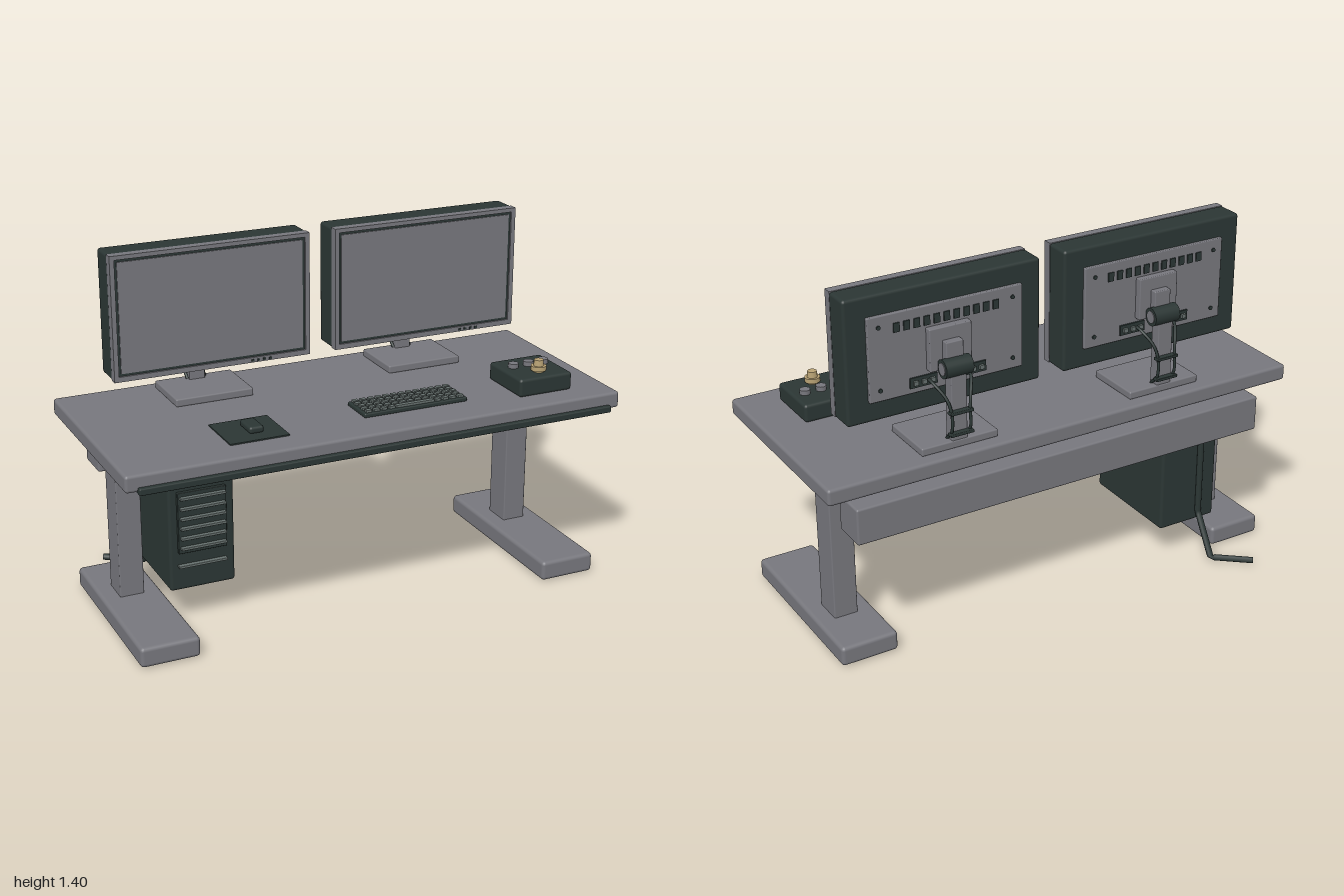
import * as THREE from 'three';
import { RoundedBoxGeometry } from 'three/addons/geometries/RoundedBoxGeometry.js';

const mat = (name, color) => Object.assign(new THREE.MeshStandardMaterial({ color }), { name });

export function createModel() {
  const grey = mat('grey', 0x77777d);
  const dark = mat('dark green grey', 0x2b3634);
  const keyGrey = mat('key grey', 0x66706e);
  const brass = mat('brass', 0xb8a274);
  const root = new THREE.Group();
  root.name = 'computerDesk';

  const group = (name, parent = root) => {
    const g = new THREE.Group();
    g.name = name;
    parent.add(g);
    return g;
  };
  const add = (parent, name, geo, m) => {
    const mesh = new THREE.Mesh(geo, m);
    mesh.name = name;
    parent.add(mesh);
    return mesh;
  };
  // box given by its limits on each axis, with optional rounded edges
  const box = (parent, name, m, [x0, x1], [y0, y1], [z0, z1], r = 0) => {
    const s = [x1 - x0, y1 - y0, z1 - z0];
    const geo = r ? new RoundedBoxGeometry(...s, 2, r) : new THREE.BoxGeometry(...s);
    geo.translate((x0 + x1) / 2, (y0 + y1) / 2, (z0 + z1) / 2);
    return add(parent, name, geo, m);
  };
  // cylinder along y (default), x or z
  const cyl = (parent, name, m, r, h, [x, y, z], axis = 'y', rTop = r) => {
    const geo = new THREE.CylinderGeometry(rTop, r, h, 20);
    if (axis === 'x') geo.rotateZ(Math.PI / 2);
    if (axis === 'z') geo.rotateX(Math.PI / 2);
    geo.translate(x, y, z);
    return add(parent, name, geo, m);
  };
  const tube = (parent, name, m, r, pts, straight) => {
    const v = pts.map((p) => new THREE.Vector3(...p));
    let curve = new THREE.CatmullRomCurve3(v);
    if (straight) {
      curve = new THREE.CurvePath();
      for (let i = 1; i < v.length; i++) curve.add(new THREE.LineCurve3(v[i - 1], v[i]));
    }
    return add(parent, name, new THREE.TubeGeometry(curve, 40, r, 8), m);
  };

  // Table
  const desk = group('desk');
  box(desk, 'tabletop', grey, [-1, 1], [0.72, 0.785], [-0.36, 0.49], 0.012);
  box(desk, 'frontTrim', dark, [-0.955, 0.955], [0.712, 0.738], [0.47, 0.508], 0.005);
  box(desk, 'rearBeam', grey, [-0.885, 0.885], [0.52, 0.665], [-0.34, -0.195], 0.008);
  for (const s of [-1, 1]) {
    const c = s * 0.838;
    box(desk, 'leg', grey, [c - 0.048, c + 0.048], [0.08, 0.725], [-0.105, 0.015], 0.005);
    box(desk, 'foot', grey, [c - 0.115, c + 0.115], [0.008, 0.087], [-0.305, 0.44], 0.015);
  }

  // Computer tower with front slats
  const tower = group('tower');
  box(tower, 'towerCase', dark, [-0.737, -0.477], [0.147, 0.629], [-0.282, 0.168], 0.012);
  box(tower, 'frontPanel', dark, [-0.705, -0.512], [0.302, 0.548], [0.167, 0.183], 0.003);
  for (const y of [0.527, 0.485, 0.445, 0.406, 0.366, 0.326])
    box(tower, 'slat', keyGrey, [-0.698, -0.518], [y - 0.005, y + 0.005], [0.18, 0.2], 0.002);
  for (const y of [0.585, 0.248])
    box(tower, 'driveSlot', keyGrey, [-0.705, -0.512], [y - 0.005, y + 0.005], [0.165, 0.187], 0.002);
  tube(root, 'powerCable', dark, 0.013,
    [[-0.655, 0.6, -0.289], [-0.655, 0.19, -0.289], [-0.655, 0.02, -0.39], [-0.79, 0.017, -0.495]], true);

  // Monitors, each built around its own centre line
  for (const cx of [-0.45, 0.445]) {
    const mon = group('monitor');
    mon.position.x = cx;
    const w = 0.396, y0 = 0.918, y1 = 1.4;
    box(mon, 'housing', dark, [-w, w], [y0, y1], [-0.205, -0.098], 0.012);
    const rect = (P, a, b, c) => new P().moveTo(-a, b).lineTo(a, b).lineTo(a, c).lineTo(-a, c).closePath();
    const frame = rect(THREE.Shape, w - 0.002, y0, y1);
    frame.holes.push(rect(THREE.Path, w - 0.02, y0 + 0.02, y1 - 0.016));
    const bezel = add(mon, 'bezel', new THREE.ExtrudeGeometry(frame, { depth: 0.035, bevelEnabled: false }), grey);
    bezel.position.z = -0.101;
    box(mon, 'screenBorder', dark, [-w + 0.02, w - 0.02], [y0 + 0.02, y1 - 0.016], [-0.1, -0.073]);
    box(mon, 'screen', grey, [-w + 0.03, w - 0.03], [y0 + 0.03, y1 - 0.026], [-0.074, -0.069]);
    for (let i = 0; i < 4; i++)
      box(mon, 'button', dark, [0.15 + i * 0.024, 0.16 + i * 0.024], [0.923, 0.931], [-0.067, -0.062]);

    // rear plate with vents, sockets and screws
    box(mon, 'rearPlate', grey, [-0.312, 0.312], [0.997, 1.322], [-0.219, -0.2], 0.004);
    for (let i = 0; i < 11; i++) {
      const x = -0.2 + i * 0.04;
      box(mon, 'vent', dark, [x - 0.012, x + 0.012], [1.25, 1.285], [-0.224, -0.218]);
    }
    for (const x of [-0.27, 0.27])
      for (const y of [1.04, 1.28]) cyl(mon, 'screw', dark, 0.008, 0.006, [x, y, -0.221], 'z');
    for (const s of [-1, 1]) {
      box(mon, 'socketStrip', dark, [s * 0.1 - 0.055, s * 0.1 + 0.055], [1.02, 1.06], [-0.226, -0.218]);
      for (let i = -1; i < 2; i++) {
        const x = s * 0.1 + i * 0.034;
        box(mon, 'plug', keyGrey, [x - 0.009, x + 0.009], [1.032, 1.048], [-0.236, -0.225]);
      }
    }

    // stand
    box(mon, 'mountPlate', grey, [-0.085, 0.085], [1.075, 1.24], [-0.248, -0.217], 0.004);
    box(mon, 'mountBlock', grey, [-0.035, 0.035], [1.07, 1.19], [-0.277, -0.245], 0.004);
    cyl(mon, 'hinge', dark, 0.036, 0.11, [0, 1.095, -0.28], 'x');
    cyl(mon, 'hingeCap', grey, 0.024, 0.116, [0, 1.095, -0.28], 'x');
    box(mon, 'neck', grey, [-0.032, 0.032], [0.81, 1.09], [-0.302, -0.256], 0.004);
    box(mon, 'base', grey, [-0.157, 0.157], [0.784, 0.815], [-0.305, -0.067], 0.006);
    for (const y of [0.845, 0.93])
      box(mon, 'cableClip', dark, [-0.048, 0.048], [y - 0.006, y + 0.006], [-0.325, -0.298], 0.003);
    for (const s of [-1, 1]) {
      tube(mon, 'monitorCable', dark, 0.006, [[s * 0.08, 1.04, -0.225], [s * 0.075, 1.03, -0.255],
        [s * 0.05, 0.985, -0.295], [s * 0.038, 0.93, -0.312], [s * 0.038, 0.86, -0.312], [s * 0.036, 0.815, -0.27]]);
      cyl(mon, 'underDeskCable', dark, 0.005, 0.08, [s * 0.01 - 0.003, 0.69, -0.222]);
    }
  }

  // Mouse and mat
  const mouse = group('mouseSet');
  box(mouse, 'mouseMat', dark, [-0.567, -0.335], [0.784, 0.79], [0.16, 0.375]);
  box(mouse, 'mouse', dark, [-0.467, -0.41], [0.788, 0.815], [0.215, 0.315], 0.01);

  // Keyboard
  const keyboard = group('keyboard');
  box(keyboard, 'keyboardBase', dark, [-0.015, 0.417], [0.784, 0.801], [0.185, 0.334], 0.005);
  for (let r = 0; r < 5; r++)
    for (let c = 0; c < 13; c++) {
      if (r === 4 && c > 3 && c < 9) continue;
      const x = 0.008 + c * 0.0322 - (r % 2) * 0.003, z = 0.203 + r * 0.028;
      box(keyboard, 'key', keyGrey, [x - 0.011, x + 0.011], [0.799, 0.81], [z - 0.009, z + 0.009]);
    }
  box(keyboard, 'spaceBar', keyGrey, [0.122, 0.282], [0.799, 0.81], [0.306, 0.324]);

  // Control box with three dials and a brass knob
  const control = group('controlBox');
  box(control, 'controlCase', dark, [0.615, 0.845], [0.784, 0.856], [0.152, 0.39], 0.012);
  for (const x of [0.665, 0.732, 0.798]) {
    cyl(control, 'dial', grey, 0.02, 0.018, [x, 0.866, 0.25]);
    cyl(control, 'dialFoot', grey, 0.014, 0.008, [x, 0.857, 0.25]);
  }
  cyl(control, 'knobFoot', brass, 0.022, 0.01, [0.732, 0.859, 0.326]);
  cyl(control, 'knobLower', brass, 0.03, 0.018, [0.732, 0.871, 0.326]);
  cyl(control, 'knobUpper', brass, 0.02, 0.024, [0.732, 0.892, 0.326], 'y', 0.018);
  return root;
}
